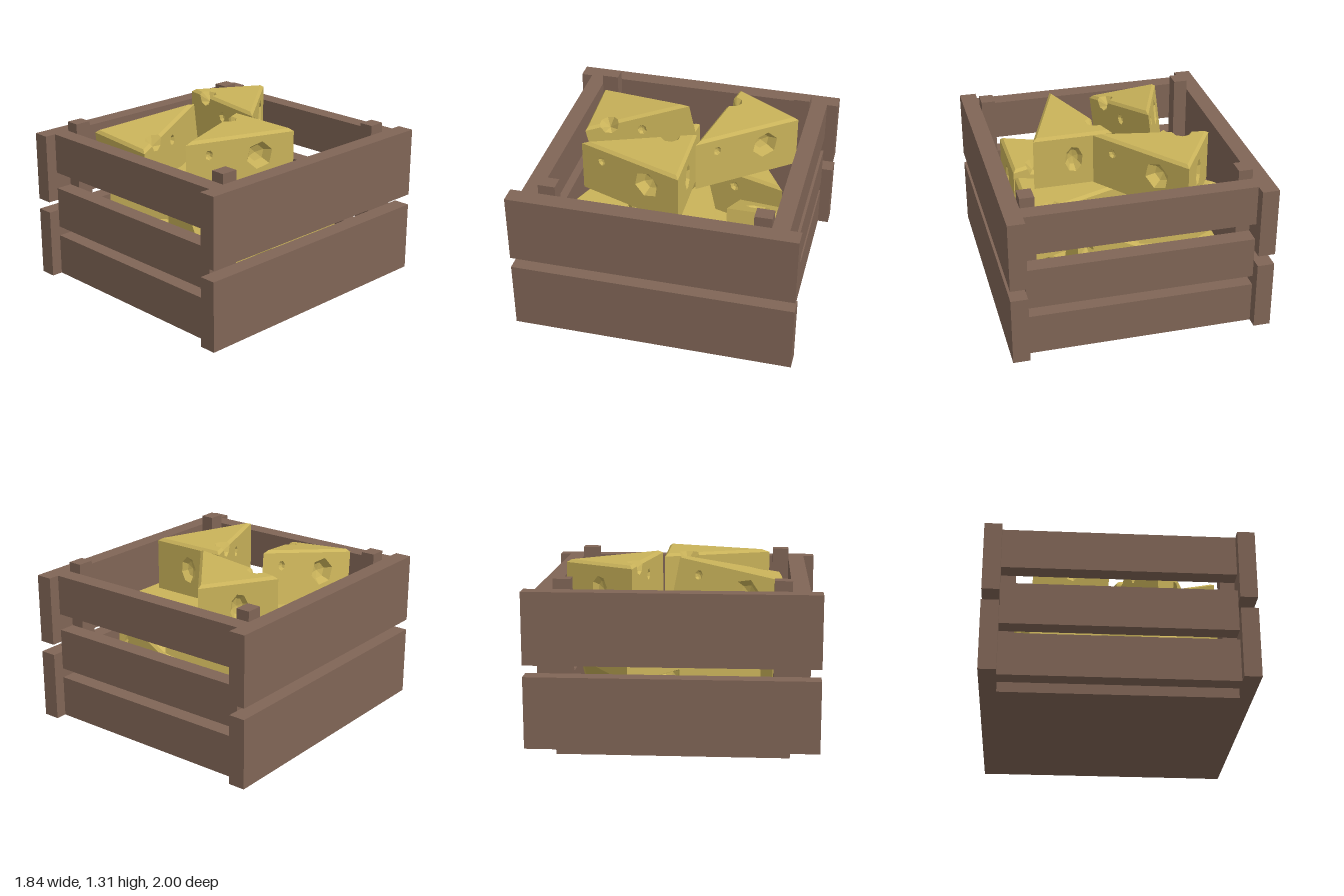
import * as THREE from 'three';

const W = 0.57, LEN = 0.76, H = 0.39, B = 0.02; // wedge width, length, height, bevel

// One wedge: three walls with dished holes, bevelled top, one bite out of the rim
function wedgeGeometry() {
  const pos = [];
  const tri = (a, b, c) => pos.push(...a.toArray(), ...b.toArray(), ...c.toArray());
  const quad = (a, b, c, d) => { tri(a, b, c); tri(a, c, d); };
  const V3 = (x, y, z) => new THREE.Vector3(x, y, z);
  const V2 = (x, y) => new THREE.Vector2(x, y);
  const fill = (contour, holes, map) => {
    const all = [contour, ...holes].flat();
    for (const [a, b, c] of THREE.ShapeUtils.triangulateShape(contour, holes)) {
      tri(map(all[a]), map(all[b]), map(all[c]));
    }
  };

  const P = [V3(-W / 2, 0, LEN / 2), V3(W / 2, 0, LEN / 2), V3(0, 0, -LEN / 2)];
  const leg = Math.hypot(W / 2, LEN), inradius = W * LEN / (W + 2 * leg);
  const centre = V3(0, 0, LEN / 2 - inradius);
  const inset = P.map(p => p.clone().lerp(centre, B / inradius).setY(H));
  const wallTop = H - B;

  // holes per wall: [along, up, radius along, radius up, sides]
  const holes = [
    [[0.29, 0.2, 0.065, 0.1, 8]],
    [[0.42, 0.27, 0.035, 0.04, 7]],
    [[0.17, 0.28, 0.03, 0.035, 7], [0.55, 0.23, 0.1, 0.1, 6]],
  ];
  const bites = [null, [0.19, 0.07], null];
  const topOutline = [];

  for (let i = 0; i < 3; i++) {
    const A = P[i], E = P[(i + 1) % 3], L = A.distanceTo(E);
    const u = E.clone().sub(A).normalize();
    const n = u.clone().cross(V3(0, 1, 0));
    const at = (s, y, d = 0) => A.clone().addScaledVector(u, s).addScaledVector(n, -d).setY(y);
    const outline = [V2(0, 0), V2(L, 0), V2(L, wallTop)];
    topOutline.push(inset[i]);
    const a = at(0, wallTop), b = at(L, wallTop), a2 = inset[i], b2 = inset[(i + 1) % 3];

    if (bites[i]) {
      const [s0, r] = bites[i];
      const upper = [], lower = [];
      for (let k = 0; k <= 4; k++) {
        const t = Math.PI * k / 4, s = s0 + r * Math.cos(t), q = r * Math.sin(t);
        upper.push(at(s, H, B + q));
        lower.push(at(s, wallTop - q));
        outline.push(V2(s, wallTop - q));
      }
      topOutline.push(...[...upper].reverse());
      quad(a, at(s0 - r, wallTop), at(s0 - r, H, B), a2);
      quad(at(s0 + r, wallTop), b, b2, at(s0 + r, H, B));
      const loop = [...upper, ...[...lower].reverse()];
      const deep = at(s0, wallTop - r * 0.65, r * 0.7);
      loop.forEach((p, k) => tri(p, loop[(k + 1) % loop.length], deep));
    } else {
      quad(a, b, b2, a2);
    }
    outline.push(V2(0, wallTop));

    // dished holes
    const rings = holes[i].map(([s, y, rx, ry, sides]) => {
      const ring = k => Array.from({ length: sides }, (_, j) => {
        const t = 2 * Math.PI * (j + 0.3) / sides;
        return V2(s + k * rx * Math.cos(t), y + k * ry * Math.sin(t));
      });
      const outer = ring(1), inner = ring(0.6);
      const m = Math.min(rx, ry);
      const floor = at(s, y, m * 0.8);
      for (let j = 0; j < sides; j++) {
        const k = (j + 1) % sides;
        const i0 = at(inner[j].x, inner[j].y, m * 0.6), i1 = at(inner[k].x, inner[k].y, m * 0.6);
        quad(at(outer[j].x, outer[j].y), at(outer[k].x, outer[k].y), i1, i0);
        tri(i0, i1, floor);
      }
      return outer;
    });
    fill(outline, rings, p => at(p.x, p.y));
  }
  fill(topOutline.map(p => V2(p.x, -p.z)), [], p => V3(p.x, H, -p.y));
  tri(P[0], P[2], P[1]);

  const g = new THREE.BufferGeometry();
  g.setAttribute('position', new THREE.Float32BufferAttribute(pos, 3));
  g.computeVertexNormals();
  return g;
}

export function createModel() {
  const model = new THREE.Group();
  const wood = new THREE.MeshStandardMaterial({ color: 0x806556 });
  wood.name = 'brown wood';
  const cheese = new THREE.MeshStandardMaterial({ color: 0xcab35a });
  cheese.name = 'yellow cheese';

  // Crate
  const crate = new THREE.Group();
  crate.name = 'crate';
  model.add(crate);
  const board = (name, x0, x1, y0, y1, z0, z1) => {
    const m = new THREE.Mesh(new THREE.BoxGeometry(x1 - x0, y1 - y0, z1 - z0), wood);
    m.position.set((x0 + x1) / 2, (y0 + y1) / 2, (z0 + z1) / 2);
    m.name = name;
    crate.add(m);
  };
  board('floor', -0.8, 0.8, 0, 0.08, -0.8, 0.8);
  for (const s of [-1, 1]) {
    const near = s < 0 ? -0.92 : 0.8, far = near + 0.12;
    for (const y of [0.07, 0.65]) board('sideBoard', near, far, y, y + 0.5, -1, 1);
    for (const [y0, y1] of [[0.07, 0.37], [0.44, 0.74], [0.86, 1.15]]) {
      board(s > 0 ? 'frontSlat' : 'backSlat', -0.8, 0.8, y0, y1, near, far);
    }
    for (const t of [-1, 1]) {
      const x = t < 0 ? -0.8 : 0.7, z = s < 0 ? -0.8 : 0.68;
      board('cornerPost', x, x + 0.1, 0.08, 1.22, z, z + 0.12);
    }
  }

  // Cheese wedges
  const pile = new THREE.Group();
  pile.name = 'cheesePile';
  model.add(pile);
  const geometry = wedgeGeometry();
  const addWedge = (name) => {
    const m = new THREE.Mesh(geometry, cheese);
    m.name = name;
    pile.add(m);
    return m;
  };
  // flat wedges: [tip x, tip z, base middle x, base middle z, bottom y]
  const flat = [
    [0.43, -0.61, 0.43, 0.14, 0.09], [-0.13, 0.68, 0.6, 0.5, 0.09],
    [0.04, 0.36, -0.7, 0.36, 0.09], [0.05, -0.28, -0.7, -0.285, 0.09],
    [-0.09, -0.17, 0.67, -0.17, 0.49], [-0.1, 0.475, 0.67, 0.475, 0.49],
    [0.06, 0.11, -0.68, 0.32, 0.49], [-0.03, -0.73, -0.5, -0.14, 0.49],
    [0.15, -0.13, -0.51, -0.53, 0.895], [0.29, 0.65, 0.285, -0.11, 0.885],
  ];
  for (const [tx, tz, bx, bz, y] of flat) {
    const m = addWedge('cheeseWedge');
    m.position.set((tx + bx) / 2, y, (tz + bz) / 2);
    m.rotation.y = Math.atan2(bx - tx, bz - tz);
  }
  // wedge leaning on top of the pile
  const leaning = addWedge('leaningWedge');
  leaning.position.set(-0.33, 0.865, 0.31);
  leaning.rotation.set(0.19, 0, -0.08, 'YXZ');
  leaning.scale.set(0.92, 1, 0.96);
  // wedge standing on its tip at the back
  const standing = addWedge('standingWedge');
  standing.position.set(0.29, 0.455, -0.41);
  standing.rotation.set(-Math.PI / 2, 0, 0.5, 'ZXY');
  standing.scale.y = 0.88;

  return model;
}
